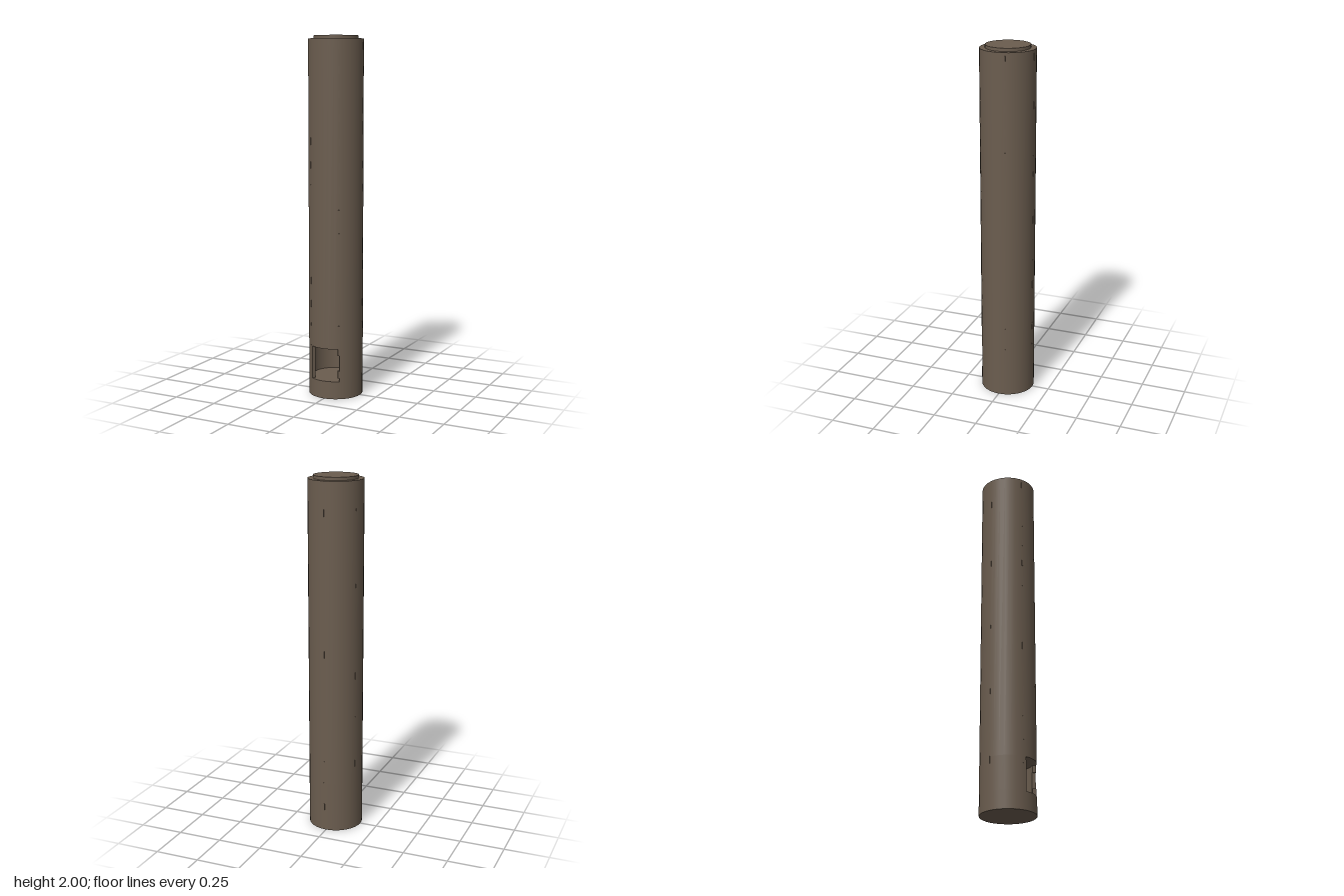
import * as THREE from 'three';

const R = 0.152, INNER = 0.132, TOP = 1.983;
const DOOR_LOW = 0.1, DOOR_HIGH = 0.285, DOOR_ANGLE = THREE.MathUtils.degToRad(33.75);

export function createModel() {
  const model = new THREE.Group();
  model.name = 'roundTower';
  const stone = new THREE.MeshStandardMaterial({ color: 0x6b5d4f, side: THREE.DoubleSide });
  stone.name = 'brown stone';

  const add = (name, geometry, parent = model) => {
    const mesh = new THREE.Mesh(geometry, stone);
    mesh.name = name;
    parent.add(mesh);
    return mesh;
  };
  const drum = (name, radius, low, high) => {
    add(name, new THREE.CylinderGeometry(radius, radius, high - low, 32)).position.y = (low + high) / 2;
  };

  // Solid drums under and over the doorway, and the raised roof disc
  drum('base', R, 0, DOOR_LOW);
  drum('shaft', R, DOOR_HIGH, TOP);
  drum('roofDisc', 0.122, TOP, 2);

  // Doorway storey: curved outer and inner walls, open at the front
  const height = DOOR_HIGH - DOOR_LOW, middle = (DOOR_LOW + DOOR_HIGH) / 2;
  for (const [name, radius] of [['doorwayOuterWall', R], ['doorwayInnerWall', INNER]]) {
    add(name, new THREE.CylinderGeometry(radius, radius, height, 26, 1, true,
      DOOR_ANGLE, Math.PI * 2 - DOOR_ANGLE * 2)).position.y = middle;
  }

  // Radial door jambs
  for (const side of [-1, 1]) {
    const jamb = add(side > 0 ? 'leftJamb' : 'rightJamb', new THREE.PlaneGeometry(R - INNER, height));
    const angle = side * DOOR_ANGLE, r = (R + INNER) / 2;
    jamb.position.set(Math.sin(angle) * r, middle, Math.cos(angle) * r);
    jamb.rotation.y = angle - Math.PI / 2;
  }

  // Five columns of tiny stair ends showing through the wall
  const stairEnds = new THREE.Group();
  stairEnds.name = 'stairEnds';
  model.add(stairEnds);
  const end = new THREE.BoxGeometry(0.008, 0.04, 0.02);
  for (let column = 0; column < 5; column++) {
    const angle = THREE.MathUtils.degToRad(32 + 72 * column), r = R - 0.0097;
    for (let level = 0; level < 15; level++) {
      const mesh = add('stairEnd', end, stairEnds);
      mesh.position.set(Math.sin(angle) * r, 1.945 - 0.129 * level, Math.cos(angle) * r);
      mesh.rotation.y = angle;
    }
  }
  return model;
}
